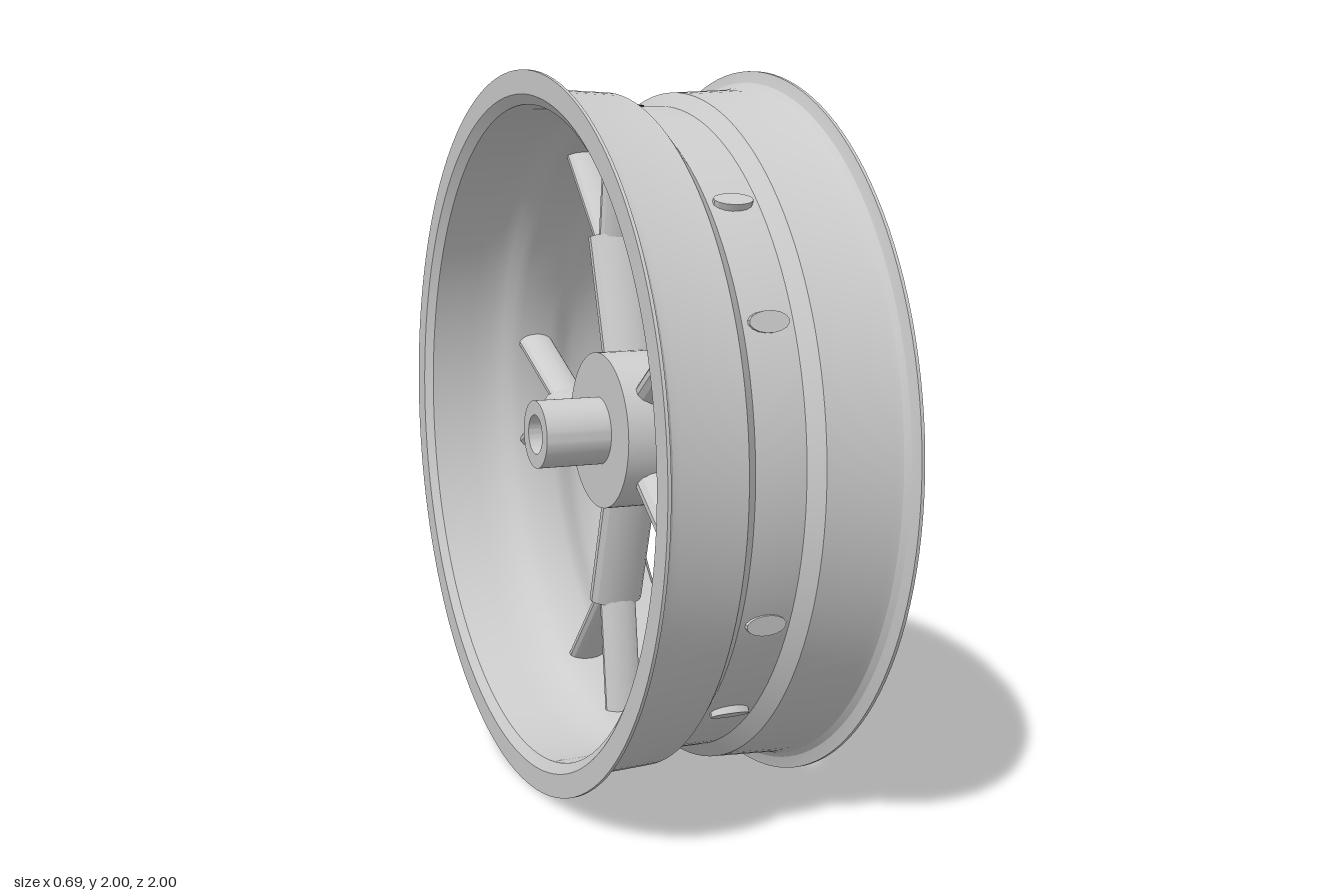
import * as THREE from 'three';
import { toCreasedNormals } from 'three/addons/utils/BufferGeometryUtils.js';

const grey = new THREE.MeshStandardMaterial({ color: 0xcccccc });
const dark = new THREE.MeshStandardMaterial({ color: 0x222222 });

function mesh(name, geometry, material = grey, crease = 0.35) {
  const m = new THREE.Mesh(toCreasedNormals(geometry, crease), material);
  m.name = name;
  return m;
}

// Closed [radius, x] profile turned around the x axis
function turned(name, profile, segments) {
  const points = [...profile, profile[0]].map(([r, x]) => new THREE.Vector2(r, x));
  return mesh(name, new THREE.LatheGeometry(points, segments).rotateZ(-Math.PI / 2));
}

// Straight bar of elliptical section in the x = 0 plane; points are [along z, y]
function bar(name, from, to, halfX, halfSide) {
  const a = new THREE.Vector3(0, from[1], -from[0]);
  const b = new THREE.Vector3(0, to[1], -to[0]);
  const dir = b.clone().sub(a);
  const sides = 16;
  const geo = new THREE.CylinderGeometry(1, 1, dir.length(), sides);
  geo.rotateY(Math.PI / sides).scale(halfX, 1, halfSide);
  const m = mesh(name, geo);
  m.position.copy(a).add(b).multiplyScalar(0.5);
  m.rotation.x = Math.atan2(dir.z, dir.y);
  return m;
}

export function createModel() {
  const wheel = new THREE.Group();
  wheel.name = 'wheel';
  wheel.position.y = 1;

  // Rim: outer half profile from the centre to the lip, then the inner half back
  const outer = [[0.902, 0.07], [0.94, 0.105], [0.949, 0.29], [0.955, 0.312],
    [0.968, 0.326], [0.985, 0.332], [1, 0.336]];
  const inner = [[1, 0.345], [0.935, 0.345], [0.907, 0.325], [0.903, 0.2],
    [0.898, 0.14], [0.885, 0.105], [0.868, 0.08], [0.86, 0.05]];
  const flip = (list) => list.map(([r, x]) => [r, -x]).reverse();
  wheel.add(turned('rim', [...flip(outer), ...outer, ...inner, ...flip(inner)], 128));

  // Hub drum with the hollow axle sleeve on both sides
  wheel.add(turned('hub', [[0.055, -0.31], [0.095, -0.31], [0.095, -0.12], [0.22, -0.12],
    [0.22, 0.12], [0.095, 0.12], [0.095, 0.31], [0.055, 0.31]], 64));

  // Five forked spokes whose tips poke through the rim
  for (let i = 0; i < 5; i++) {
    const spoke = new THREE.Group();
    spoke.name = 'spoke';
    spoke.add(bar('spokeStem', [0.15, 0], [0.56, 0], 0.08, 0.044));
    for (const side of [1, -1]) {
      spoke.add(bar('spokeFork', [0.52, 0], [0.896, side * 0.179], 0.055, 0.028));
    }
    spoke.rotation.x = (i * Math.PI * 2) / 5;
    wheel.add(spoke);
  }

  // Valve stem at the top of the rim
  const valve = mesh('valveStem', new THREE.CylinderGeometry(0.017, 0.017, 0.165, 20), dark);
  valve.position.y = 0.823;
  wheel.add(valve);

  const model = new THREE.Group();
  model.name = 'wheelModel';
  model.add(wheel);
  return model;
}
